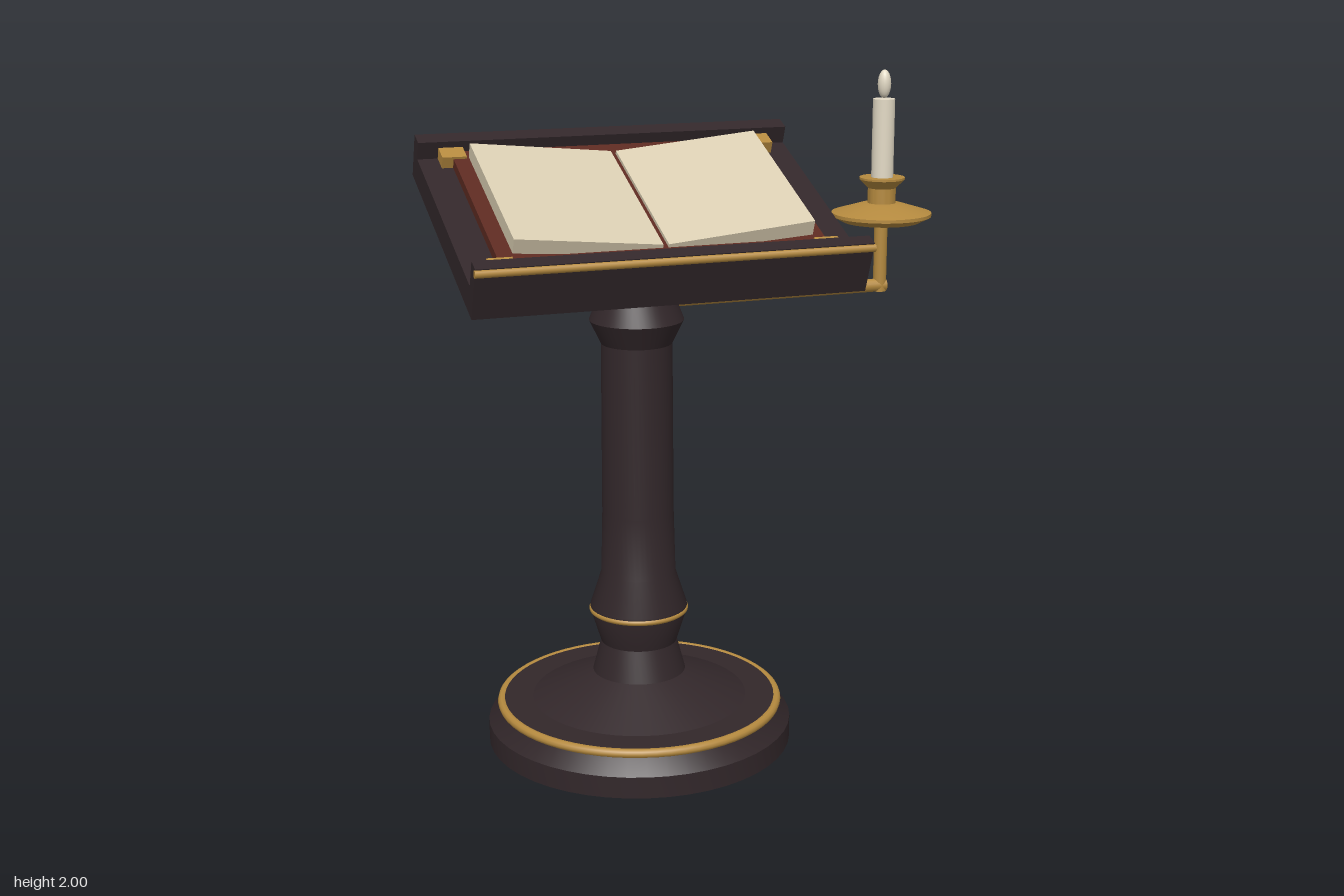
import * as THREE from 'three';
import { toCreasedNormals } from 'three/addons/utils/BufferGeometryUtils.js';

const flat = (name, color) => {
  const m = new THREE.MeshStandardMaterial({ color });
  m.name = name;
  return m;
};

export function createModel() {
  const wood = flat('dark wood', 0x32272a);
  const brass = flat('brass', 0xb58a3f);
  const leather = flat('red leather', 0x5c2a21);
  const paper = flat('paper', 0xd9cdb1);
  const wax = flat('candle wax', 0xe3dac5);

  const model = new THREE.Group();
  model.name = 'lectern';
  const axisX = -0.18; // column and desk centre line

  const add = (parent, name, geo, mat, x = 0, y = 0, z = 0) => {
    const mesh = new THREE.Mesh(geo, mat);
    mesh.name = name;
    mesh.position.set(x, y, z);
    parent.add(mesh);
    return mesh;
  };
  const lathe = (points, sides = 48) => toCreasedNormals(
    new THREE.LatheGeometry(points.map(([r, y]) => new THREE.Vector2(r, y)), sides), 0.4);
  const box = (parent, name, mat, x0, x1, y0, y1, z0, z1) =>
    add(parent, name, new THREE.BoxGeometry(x1 - x0, y1 - y0, z1 - z0), mat,
      (x0 + x1) / 2, (y0 + y1) / 2, (z0 + z1) / 2);

  // Turned pedestal: foot, shaft and neck
  const pedestal = new THREE.Group();
  pedestal.name = 'pedestal';
  pedestal.position.x = axisX;
  model.add(pedestal);
  add(pedestal, 'base', lathe([
    [0, 0], [0.461, 0], [0.461, 0.065], [0.43, 0.108], [0.42, 0.132], [0.325, 0.132],
    [0.14, 0.215], [0.115, 0.31], [0.146, 0.41], [0.146, 0.425], [0.112, 0.53], [0.107, 0.72],
    [0.105, 1.235], [0.139, 1.305], [0.116, 1.365], [0.15, 1.405], [0.18, 1.428],
    [0.185, 1.465], [0.185, 1.515], [0, 1.515],
  ]), wood);
  [['baseRing', 0.419, 0.014, 0.121], ['shaftRing', 0.141, 0.009, 0.412], ['neckRing', 0.184, 0.018, 1.44]]
    .forEach(([name, radius, tube, y]) => {
      const ring = new THREE.TorusGeometry(radius, tube, 10, 64);
      ring.rotateX(Math.PI / 2);
      add(pedestal, name, ring, brass, 0, y, 0);
    });
  box(pedestal, 'deskBracket', wood, -0.09, 0.09, 1.5, 1.57, -0.09, 0.09);

  // Sloping desk with a raised lip at the front and back
  const desk = new THREE.Group();
  desk.name = 'desk';
  desk.position.set(axisX, 1.561, -0.013);
  desk.rotation.x = 0.383;
  model.add(desk);
  box(desk, 'board', wood, -0.57, 0.57, 0, 0.08, -0.379, 0.379);
  box(desk, 'backLip', wood, -0.57, 0.57, 0, 0.134, -0.38, -0.33);
  box(desk, 'frontLip', wood, -0.57, 0.57, 0, 0.158, 0.345, 0.387);
  const rail = new THREE.CylinderGeometry(0.011, 0.011, 1.144, 12);
  rail.rotateZ(Math.PI / 2);
  add(desk, 'lipRail', rail, brass, 0, 0.145, 0.39);

  // Open book: cover, corner fittings, and page blocks rising away from the gutter
  const book = new THREE.Group();
  book.name = 'book';
  desk.add(book);
  box(book, 'cover', leather, -0.477, 0.477, 0.079, 0.108, -0.318, 0.316);
  for (const s of [-1, 1]) {
    for (const z of [-0.308, 0.305]) {
      add(book, 'coverCorner', new THREE.BoxGeometry(0.072, 0.036, 0.07), brass, s * 0.474, 0.097, z);
    }
    const section = new THREE.Shape([
      [0.008, 0.085], [0.436, 0.12], [0.436, 0.165], [0.008, 0.118],
    ].map(([x, y]) => new THREE.Vector2(s * x, y)));
    const pages = new THREE.ExtrudeGeometry(section, { depth: 0.524, bevelEnabled: false });
    add(book, s > 0 ? 'leftPages' : 'rightPages', pages, paper, 0, 0, -0.261);
  }

  // Candle arm reaching out from the neck
  const holder = new THREE.Group();
  holder.name = 'candleHolder';
  holder.position.x = 0.595;
  model.add(holder);
  const arm = new THREE.CylinderGeometry(0.02, 0.02, 0.68, 16);
  arm.rotateZ(Math.PI / 2);
  add(holder, 'arm', arm, brass, -0.322, 1.353, 0);
  add(holder, 'upright', new THREE.CylinderGeometry(0.02, 0.02, 0.22, 16), brass, 0, 1.445, 0);
  add(holder, 'dripPan', lathe([
    [0, 1.548], [0.115, 1.548], [0.15, 1.566], [0.15, 1.576], [0.062, 1.603], [0.042, 1.605],
    [0.042, 1.65], [0.068, 1.676], [0.068, 1.682], [0, 1.682],
  ]), brass);
  add(holder, 'candle', new THREE.CylinderGeometry(0.033, 0.033, 0.235, 24), wax, 0, 1.797, 0);
  const flame = new THREE.SphereGeometry(0.02, 16, 12);
  flame.scale(1, 2.1, 1);
  add(holder, 'flame', flame, wax, 0, 1.958, 0);

  return model;
}
